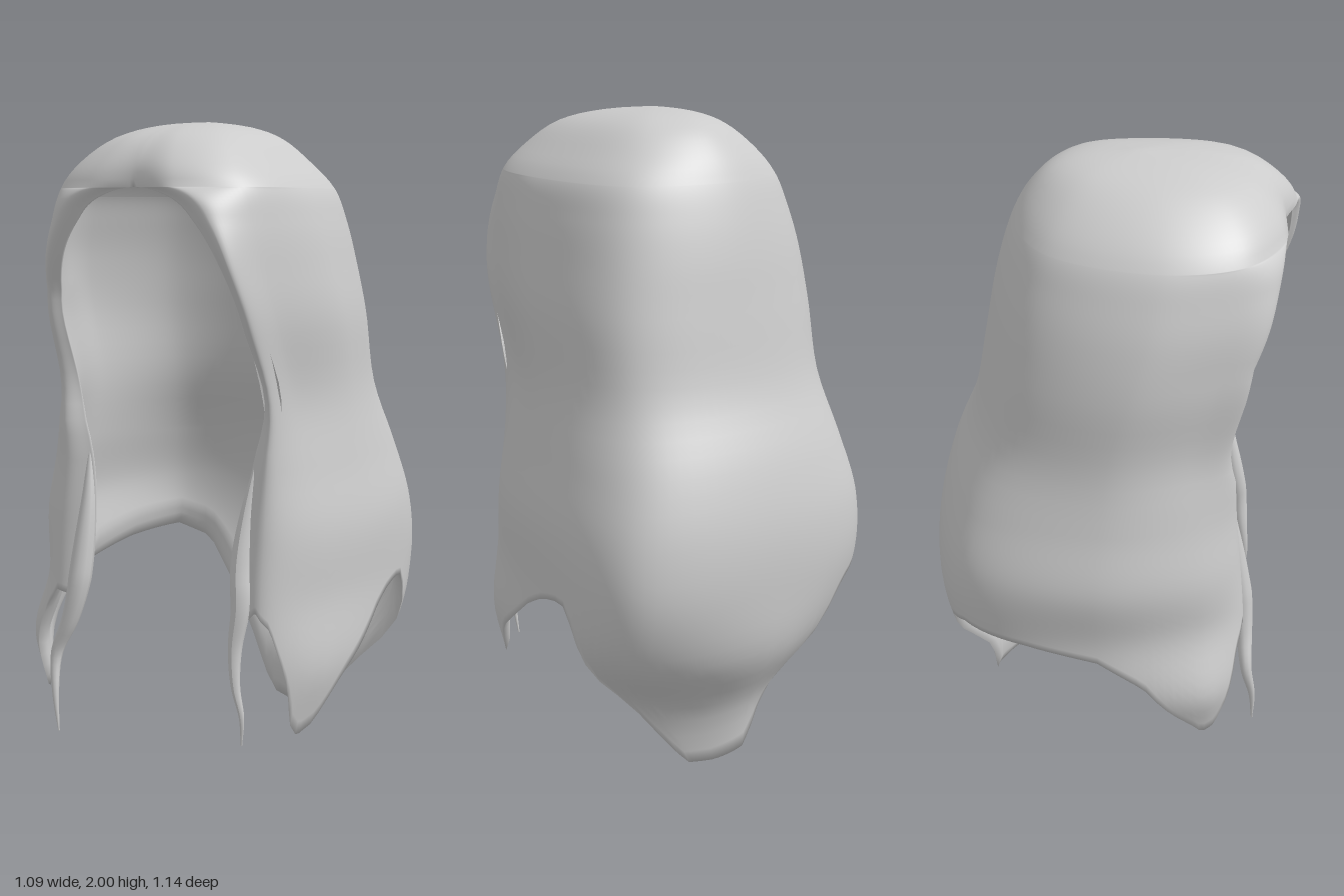
import * as THREE from 'three';
import { mergeVertices } from 'three/addons/utils/BufferGeometryUtils.js';

const material = new THREE.MeshStandardMaterial({ color: 0xcccccc, side: THREE.DoubleSide });
const { clamp, smoothstep } = THREE.MathUtils;

// Cross-section sizes by height: [y, width -x, width +x, back z, front z,
// half opening -x, half opening +x, back corner x factor, back corner z factor]
const LEVELS = [
  [2.0, 0, 0, .08, .08, 0, 0, .72, .74],
  [1.985, .12, .12, -.07, .29, 0, 0, .72, .74],
  [1.95, .225, .215, -.17, .45, 0, 0, .72, .74],
  [1.88, .325, .30, -.24, .545, 0, 0, .73, .75],
  [1.8, .395, .375, -.285, .59, .33, .32, .74, .76],
  [1.7, .435, .41, -.32, .59, .33, .32, .74, .76],
  [1.58, .467, .435, -.35, .57, .33, .32, .74, .76],
  [1.42, .485, .46, -.38, .51, .33, .33, .74, .76],
  [1.2, .48, .465, -.425, .41, .30, .35, .75, .77],
  [1.0, .51, .50, -.505, .41, .24, .31, .78, .79],
  [0.8, .55, .54, -.555, .43, .22, .28, .8, .8],
  [0.6, .53, .54, -.56, .45, .24, .28, .82, .8],
  [0.4, .54, .54, -.535, .46, .28, .30, .78, .7],
  [0.2, .475, .49, -.43, .45, .29, .31, .57, .68],
  [0.0, .46, .46, -.4, .44, .30, .32, .4, .8],
];
const ARCH = 4;     // index of the level at the top of the face opening
const SHOULDER = 9; // index of the level at y = 1; below it levels are .2 apart
const THICKNESS = .045;

// Hem height around the hood: [position 0..10 from -x rim via the back to +x rim, y]
const HEM = [
  [0, .5], [.5, .56], [1, .57], [1.3, .5], [1.55, .34], [1.8, .22], [2.05, .2], [2.3, .3], [2.6, .45], [3, .54],
  [3.5, .58], [4, .6], [4.3, .55], [4.47, .43], [4.6, .29], [4.8, .12], [5, .05], [5.5, .015], [5.85, .005],
  [6, .1], [6.15, .25], [6.35, .42], [6.5, .53], [6.6, .59], [6.8, .57], [7, .52], [7.3, .43], [7.55, .36],
  [7.8, .23], [8.05, .2], [8.25, .24], [8.5, .38], [8.8, .54], [9.2, .59], [10, .52],
];

function hemAt(u) {
  const i = Math.max(1, HEM.findIndex((h) => h[0] >= u));
  const [a, b] = [HEM[i - 1], HEM[i]];
  return a[1] + (b[1] - a[1]) * (u - a[0]) / (b[0] - a[0]);
}

// Smooth blend of the levels
function levelAt(s) {
  const i = Math.min(Math.floor(s), LEVELS.length - 2), t = s - i;
  const row = (k) => LEVELS[clamp(k, 0, LEVELS.length - 1)];
  const [p, q, r, w] = [row(i - 1), row(i), row(i + 1), row(i + 2)];
  return q.map((v, k) => v + .5 * t * (r[k] - p[k] +
    t * (2 * p[k] - 5 * v + 4 * r[k] - w[k] + t * (3 * (v - r[k]) + w[k] - p[k]))));
}

// Cross-section curve of the hood at level s, from -x rim via the back to +x rim
function sectionPoint(u, s) {
  const [y, wl, wr, zb, zf, rl, rr, bx, bz] = levelAt(s);
  const zm = (zf + zb) / 2 + .04 * smoothstep(1.4 - y, 0, .4);
  const lean = clamp((y - 1.1) / .4, 0, 1) * Math.min(1, wl / .2);
  const tuck = .03 * smoothstep(1.92 - y, 0, .15);  // rim rolls inwards
  const flare = smoothstep(.65 - y, 0, .3);         // front points of the hem swing out
  // round arch over the face
  const rise = clamp((y - 1.42) / .38, 0, 1);
  const arch = s <= ARCH ? 0 : Math.sqrt(1 - rise * rise);
  const half = (w, open, side) => {
    const rim = open * arch;
    const front = (x, k) => new THREE.Vector3(side * x, y,
      zm + k * (zf - zm + lean * (.16 * side * x - .05)));
    const edge = front(rim, 1);
    edge.z -= tuck;
    const corner = bx + .03 * side;
    return [
      edge,
      front(rim + (.86 * w - rim) * .48, .97),
      front((.86 + (.07 - .03 * side) * flare) * w, .7),
      new THREE.Vector3(side * w, y, zm),
      new THREE.Vector3(side * corner * w, y, zm + (zb - zm) * (bz + .03 * side)),
    ];
  };
  const points = [...half(wl, rl, -1), new THREE.Vector3(0, y, zb), ...half(wr, rr, 1).reverse()];
  return new THREE.CatmullRomCurve3(points).getPoint(u / 10);
}

function hoodGeometry() {
  const cols = 120, crown = 16, upper = 48, rows = 68;
  const stride = cols + 1, count = (rows + 1) * stride;
  const pos = [], index = [], depth = [];
  for (let j = 0; j <= rows; j++) {
    for (let i = 0; i <= cols; i++) {
      const u = 10 * i / cols;
      let s;
      if (j <= crown) s = ARCH * j / crown;
      else if (j <= upper) s = ARCH + (SHOULDER - ARCH) * ((j - crown) / (upper - crown)) ** 1.6;
      else s = SHOULDER + (1 - hemAt(u)) / .2 * (j - upper) / (rows - upper);
      pos.push(...sectionPoint(u, s).toArray());
      // shell thickness, fading to zero at the rim and the hem
      const toRim = Math.hypot(Math.min(u, 10 - u) / .4, Math.max(0, ARCH - s) / .5);
      depth.push(THICKNESS * Math.sqrt(Math.min(1, toRim, (rows - j) / 4)));
      if (i < cols && j < rows) {
        const a = j * stride + i, c = a + stride;
        index.push(a, a + 1, c, a + 1, c + 1, c);
      }
    }
  }
  const outer = new THREE.BufferGeometry();
  outer.setAttribute('position', new THREE.Float32BufferAttribute(pos, 3));
  outer.setIndex(index);
  outer.computeVertexNormals();

  // Inner lining: the outer surface moved inwards, with faces turned over
  const n = new THREE.Vector3(), all = [...pos];
  for (let k = 0; k < count; k++) {
    n.fromBufferAttribute(outer.attributes.normal, k);
    if (k < stride) n.set(0, 1, 0);
    else if (Math.abs(pos[3 * k]) < 1e-6) n.x = 0;
    all.push(pos[3 * k] - n.x * depth[k], pos[3 * k + 1] - n.y * depth[k], pos[3 * k + 2] - n.z * depth[k]);
  }
  const lining = index.map((v) => v + count).reverse();
  let geo = new THREE.BufferGeometry();
  geo.setAttribute('position', new THREE.Float32BufferAttribute(all, 3));
  geo.setIndex([...index, ...lining]);
  geo = mergeVertices(geo, 1e-4);
  geo.computeVertexNormals();
  return geo;
}

// Thin strand: a tube that swells below its top and tapers to a point
function strandGeometry(path, radius) {
  const curve = new THREE.CatmullRomCurve3(path.map((p) => new THREE.Vector3(...p)));
  const rings = 40, sides = 10;
  const geo = new THREE.TubeGeometry(curve, rings, radius, sides);
  const p = geo.attributes.position, v = new THREE.Vector3();
  for (let i = 0; i < p.count; i++) {
    const t = Math.floor(i / (sides + 1)) / rings;
    const c = curve.getPointAt(t);
    const k = t < .45 ? .1 + .9 * Math.sin(t / .45 * Math.PI / 2) : 1 - .93 * (t - .45) / .55;
    v.fromBufferAttribute(p, i).sub(c).multiplyScalar(k).add(c);
    p.setXYZ(i, v.x, v.y, v.z);
  }
  geo.computeVertexNormals();
  return geo;
}

export function createModel() {
  const group = new THREE.Group();
  const add = (name, geo) => {
    const mesh = new THREE.Mesh(geo, material);
    mesh.name = name;
    group.add(mesh);
  };
  add('hood', hoodGeometry());
  add('rightStrand', strandGeometry([[-.255, 1.02, .375], [-.25, .86, .395], [-.255, .7, .42], [-.265, .58, .44],
    [-.29, .48, .45], [-.335, .37, .46], [-.325, .25, .485], [-.31, .13, .492]], .036));
  add('leftStrand', strandGeometry([[.32, 1.02, .375], [.30, .86, .395], [.295, .72, .42], [.305, .6, .44],
    [.295, .48, .455], [.305, .37, .47], [.325, .28, .47], [.32, .19, .46]], .032));
  return group;
}
